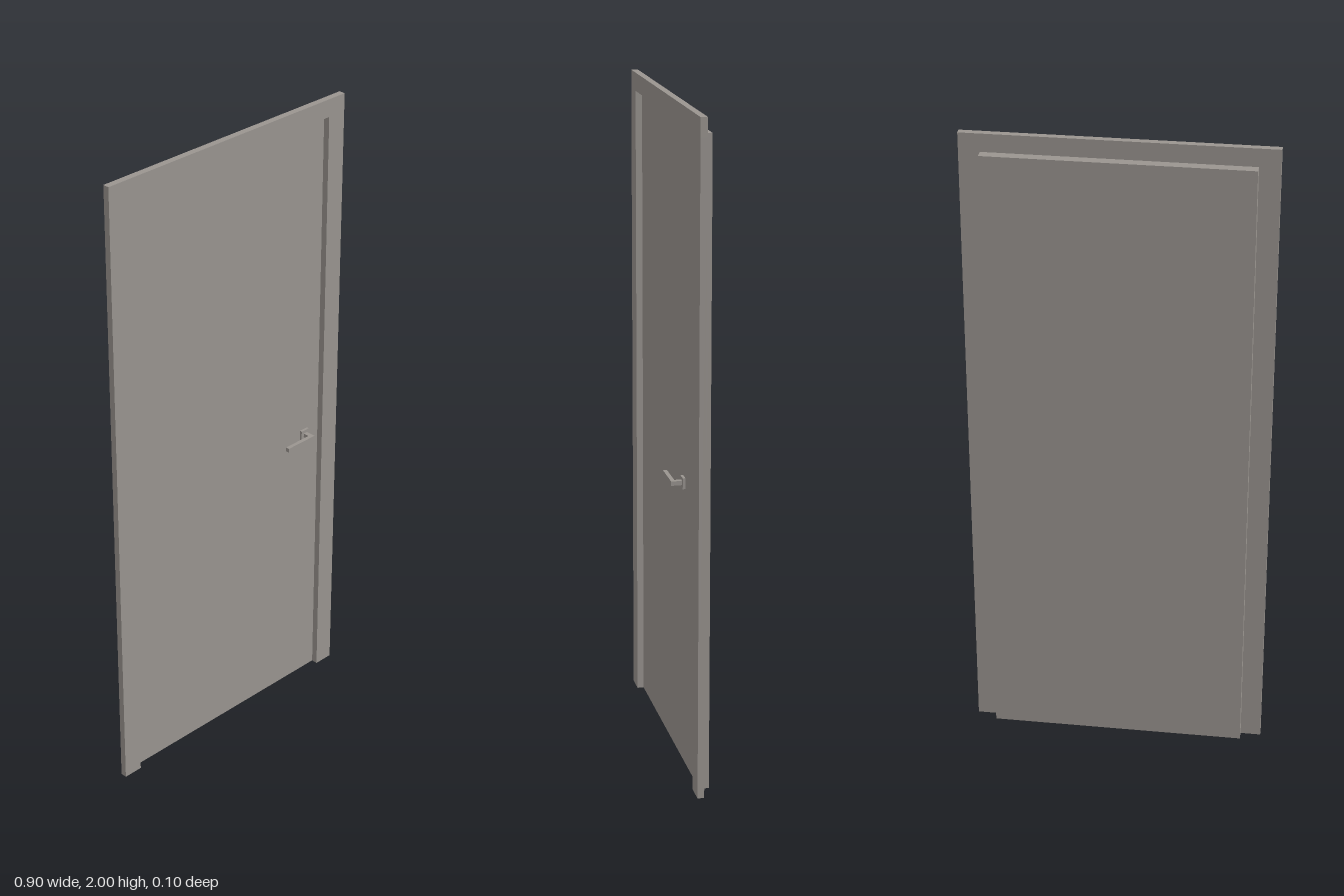
import * as THREE from 'three';

const warmGrey = new THREE.MeshStandardMaterial({ color: 0x9a9590 });
warmGrey.name = 'warmGrey';

// Box given by its minimum and maximum corners
function block(name, [x0, y0, z0], [x1, y1, z1]) {
  const mesh = new THREE.Mesh(new THREE.BoxGeometry(x1 - x0, y1 - y0, z1 - z0), warmGrey);
  mesh.position.set((x0 + x1) / 2, (y0 + y1) / 2, (z0 + z1) / 2);
  mesh.name = name;
  return mesh;
}

export function createModel() {
  const model = new THREE.Group();
  model.name = 'door';
  const outer = 0.452, inner = 0.39, top = 1.945, back = -0.02;

  // Flat casing: two jambs below a full-width header
  const frame = new THREE.Group();
  frame.name = 'frame';
  frame.add(
    block('leftJamb', [inner, 0, back], [outer, top, 0]),
    block('rightJamb', [-outer, 0, back], [-inner, top, 0]),
    block('header', [-outer, top, back], [outer, 2, 0])
  );

  // Door leaf, set behind the casing
  const leaf = block('doorLeaf', [-inner, 0, -0.049], [inner, top, back]);

  // Lever handle: rose plate, neck and lever
  const handle = new THREE.Group();
  handle.name = 'handle';
  handle.add(
    block('rosePlate', [0.285, 0.908, 0.007], [0.316, 0.941, 0.015]),
    block('neck', [0.294, 0.918, 0.015], [0.308, 0.931, 0.035]),
    block('lever', [0.197, 0.918, 0.035], [0.308, 0.931, 0.047])
  );

  model.add(frame, leaf, handle);
  return model;
}
